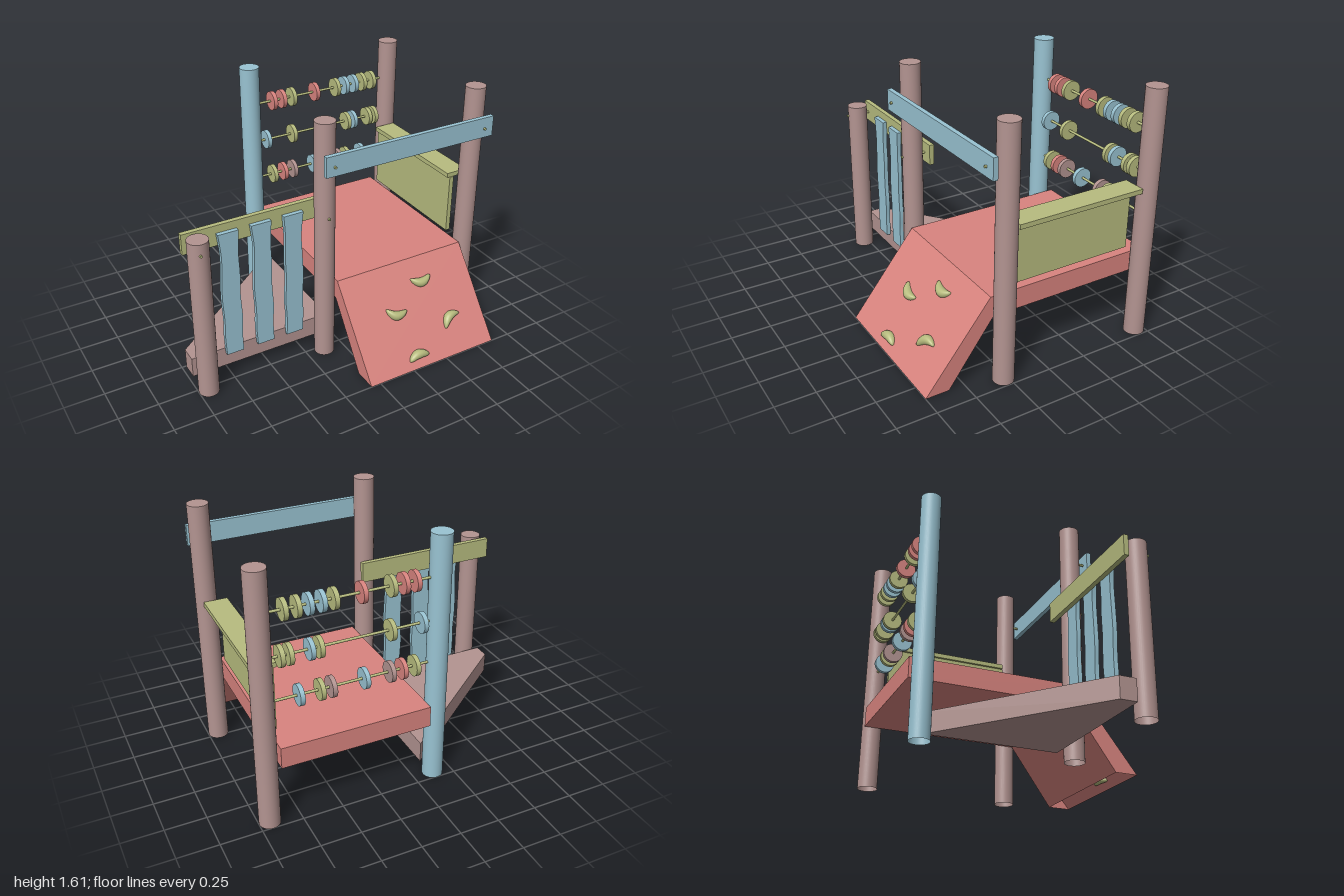
import * as THREE from 'three';

export function createModel() {
  const model = new THREE.Group();
  model.name = 'playClimber';
  const mat = (name, color) => {
    const m = new THREE.MeshStandardMaterial({ color, side: THREE.DoubleSide });
    m.name = name;
    return m;
  };
  const brown = mat('brown', 0xb39491);
  const red = mat('red', 0xd9847f);
  const blue = mat('blue', 0x99c3d2);
  const olive = mat('olive', 0xb7bc7f);

  const add = (name, geo, material, parent = model) => {
    const mesh = new THREE.Mesh(geo, material);
    mesh.name = name;
    parent.add(mesh);
    return mesh;
  };
  // Box given by its limits on each axis
  const box = (name, material, [x0, x1], [y0, y1], [z0, z1]) =>
    add(name, new THREE.BoxGeometry(x1 - x0, y1 - y0, z1 - z0), material)
      .position.set((x0 + x1) / 2, (y0 + y1) / 2, (z0 + z1) / 2);

  // Posts: tubes open at the foot with a closed top
  const post = (name, x, z, h, material) => {
    const g = new THREE.Group();
    g.name = name;
    g.position.set(x, 0, z);
    add('postTube', new THREE.CylinderGeometry(0.064, 0.064, h, 40, 1, true), material, g).position.y = h / 2;
    const cap = add('postTop', new THREE.CircleGeometry(0.064, 40), material, g);
    cap.rotation.x = -Math.PI / 2;
    cap.position.y = h;
    model.add(g);
  };
  post('shortPost', -0.936, 0.28, 1.07, brown);
  post('frontRightPost', -0.129, 0.28, 1.605, brown);
  post('frontLeftPost', 0.935, 0.28, 1.605, brown);
  post('backLeftPost', 0.935, -0.69, 1.605, brown);
  post('backRightPost', -0.129, -0.69, 1.605, blue);

  // Platform
  box('platform', red, [-0.065, 0.868], [0.4, 0.532], [-0.755, 0.33]);

  // Climbing ramp, open at the ground
  const rampSide = { A: [0, 0.75], B: [0.532, 0.33], C: [0.4, 0.31], D: [0, 0.6] };
  const [x0, x1] = [-0.065, 0.868];
  const quads = [
    [[x0, 'A'], [x1, 'A'], [x1, 'B'], [x0, 'B']],
    [[x1, 'D'], [x0, 'D'], [x0, 'C'], [x1, 'C']],
    [[x1, 'A'], [x1, 'D'], [x1, 'C'], [x1, 'B']],
    [[x0, 'D'], [x0, 'A'], [x0, 'B'], [x0, 'C']],
  ];
  const verts = [];
  for (const q of quads)
    for (const i of [0, 1, 2, 0, 2, 3]) verts.push(q[i][0], ...rampSide[q[i][1]]);
  const rampGeo = new THREE.BufferGeometry();
  rampGeo.setAttribute('position', new THREE.Float32BufferAttribute(verts, 3));
  rampGeo.computeVertexNormals();
  add('ramp', rampGeo, red);

  // Bean-shaped climbing holds: x, y, turn, bend
  const holds = [[0.5, 0.405, -0.05, 6], [0.255, 0.287, -0.3, 6], [0.617, 0.184, 0.5, -6], [0.315, 0.063, 0.05, -4]];
  for (const [x, y, turn, bend] of holds) {
    const geo = new THREE.SphereGeometry(1, 24, 16);
    geo.scale(0.074, 0.03, 0.034);
    const p = geo.attributes.position;
    for (let i = 0; i < p.count; i++) p.setY(i, p.getY(i) + bend * (p.getX(i) ** 2 - 0.0015));
    geo.computeVertexNormals();
    geo.rotateZ(turn);
    const hold = add('climbingHold', geo, olive);
    hold.rotation.x = -Math.atan2(0.42, 0.532);
    hold.position.set(x, y, 0.75 - y * 0.42 / 0.532);
  }

  // Low triangular step
  const tri = new THREE.Shape([[-1, -0.195], [-0.065, -0.195], [-0.065, 0.65], [-1, -0.09]]
    .map(([x, y]) => new THREE.Vector2(x, y)));
  const step = new THREE.ExtrudeGeometry(tri, { depth: 0.132, bevelEnabled: false });
  step.rotateX(-Math.PI / 2);
  add('triangularStep', step, brown).position.y = 0.07;

  // Side fence: top rail and wavy slats
  box('fenceRail', olive, [-1, -0.065], [0.938, 1.07], [0.162, 0.193]);
  const leftEdge = [[-0.066, 1.02], [-0.052, 0.87], [-0.057, 0.72], [-0.062, 0.58], [-0.055, 0.42], [-0.058, 0.3], [-0.052, 0.165]];
  const rightEdge = [[0.06, 0.165], [0.057, 0.3], [0.063, 0.42], [0.056, 0.58], [0.06, 0.72], [0.056, 0.87], [0.064, 1.02]];
  [[-0.725, 1], [-0.515, 1], [-0.305, -1]].forEach(([x, flip]) => {
    const vec = (list) => list.map(([a, b]) => new THREE.Vector2(a * flip, b));
    const s = new THREE.Shape();
    s.moveTo(leftEdge[0][0] * flip, leftEdge[0][1]);
    s.splineThru(vec(leftEdge.slice(1)));
    s.lineTo(rightEdge[0][0] * flip, rightEdge[0][1]);
    s.splineThru(vec(rightEdge.slice(1)));
    const geo = new THREE.ExtrudeGeometry(s, { depth: 0.028, bevelEnabled: false, curveSegments: 24 });
    add('fenceSlat', geo, blue).position.set(x, 0, 0.193);
  });

  // Front beam
  box('frontBeam', blue, [-0.19, 0.99], [1.308, 1.438], [0.376, 0.406]);

  // Bolts along z
  const bolt = (x, y, z0, z1) => {
    const b = add('bolt', new THREE.CylinderGeometry(0.008, 0.008, z1 - z0, 16), olive);
    b.rotation.x = Math.PI / 2;
    b.position.set(x, y, (z0 + z1) / 2);
  };
  for (const x of [-0.135, 0.925]) bolt(x, 1.367, 0.3, 0.418);
  for (const x of [-0.948, -0.135]) bolt(x, 1.0, 0.18, 0.354);

  // Counter on the left side
  box('counterPanel', olive, [0.84, 0.87], [0.575, 0.97], [-0.625, 0.22]);
  box('counterTop', olive, [0.822, 0.968], [0.97, 1.0], [-0.627, 0.215]);

  // Bead rods across the back
  const rows = [
    [0.805, [[0.02, olive], [0.1, red], [0.175, brown], [0.335, blue], [0.535, brown], [0.602, olive], [0.725, blue]]],
    [1.073, [[-0.02, blue], [0.175, olive], [0.602, olive], [0.655, blue], [0.775, olive], [0.825, olive]]],
    [1.342, [[0.03, red], [0.1, red], [0.175, olive], [0.35, red], [0.513, olive], [0.583, blue], [0.655, blue], [0.723, olive], [0.797, olive]]],
  ];
  const beadGeo = new THREE.CylinderGeometry(0.063, 0.063, 0.027, 32);
  for (const [y, beads] of rows) {
    const rod = add('beadRod', new THREE.CylinderGeometry(0.008, 0.008, 1.0, 16), olive);
    rod.rotation.z = Math.PI / 2;
    rod.position.set(0.403, y, -0.69);
    for (const [x, material] of beads) {
      const bead = add('bead', beadGeo, material);
      bead.rotation.z = Math.PI / 2;
      bead.position.set(x, y, -0.69);
    }
  }
  return model;
}
